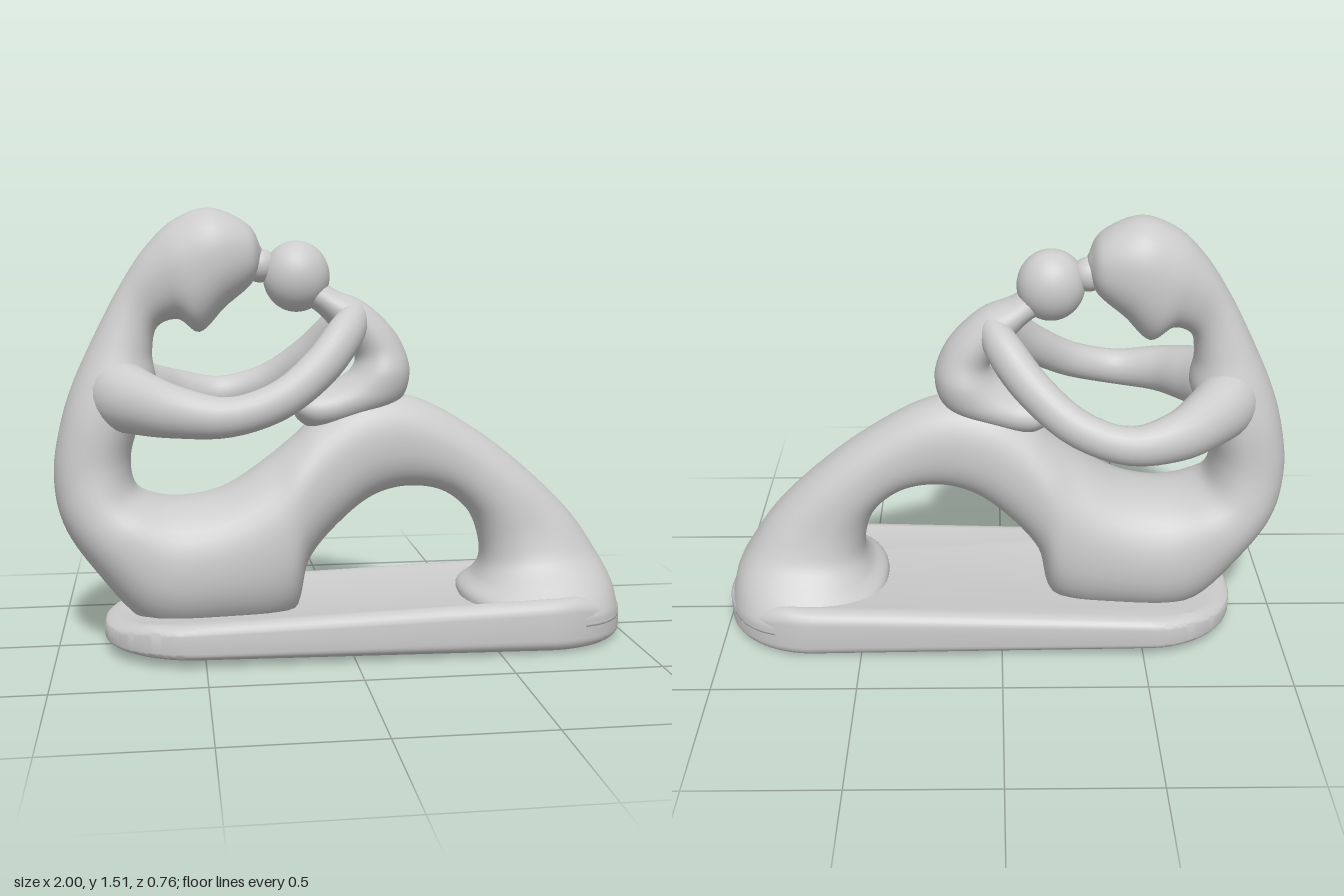
import * as THREE from 'three';
import { toCreasedNormals } from 'three/addons/utils/BufferGeometryUtils.js';

const V = (x, y, z = 0) => new THREE.Vector3(x, y, z);
const material = new THREE.MeshStandardMaterial({ color: 0xcccccc, roughness: 0.7 });

function add(parent, name, geometry) {
  const mesh = new THREE.Mesh(geometry, material);
  mesh.name = name;
  parent.add(mesh);
  return mesh;
}

// Closed skin over sections { c: centre, u: half-axis vector, w: half-width across it }
function loft(sections, sides, power = 1) {
  const pos = [], index = [], n = sections.length;
  const soft = (v) => Math.sign(v) * Math.abs(v) ** power;
  sections.forEach(({ c, u, w }, i) => {
    const d = sections[Math.min(i + 1, n - 1)].c.clone().sub(sections[Math.max(i - 1, 0)].c);
    const v = u.clone().cross(d).normalize().multiplyScalar(w);
    for (let j = 0; j < sides; j++) {
      const t = (j / sides) * Math.PI * 2;
      const p = c.clone().addScaledVector(u, soft(Math.cos(t))).addScaledVector(v, soft(Math.sin(t)));
      pos.push(p.x, p.y, p.z);
    }
  });
  for (let i = 0; i < n - 1; i++) {
    for (let j = 0; j < sides; j++) {
      const a = i * sides + j, b = i * sides + ((j + 1) % sides);
      index.push(a, a + sides, b, b, a + sides, b + sides);
    }
  }
  // end caps
  const first = n * sides, last = first + 1, end = (n - 1) * sides;
  pos.push(...sections[0].c.toArray(), ...sections[n - 1].c.toArray());
  for (let j = 0; j < sides; j++) {
    const k = (j + 1) % sides;
    index.push(first, j, k, last, end + k, end + j);
  }
  const g = new THREE.BufferGeometry();
  g.setAttribute('position', new THREE.Float32BufferAttribute(pos, 3));
  g.setIndex(index);
  g.computeVertexNormals();
  return g;
}

// Body from ribs [backX, backY, frontX, frontY, halfWidth], smoothed by splines
function ribBody(ribs, steps, power) {
  const curve = (f) => new THREE.CatmullRomCurve3(ribs.map(f), false, 'centripetal');
  const back = curve((r) => V(r[0], r[1]));
  const front = curve((r) => V(r[2], r[3]));
  const width = curve((r, i) => V(i, r[4]));
  const sections = [];
  for (let i = 0; i <= steps; i++) {
    const t = i / steps, a = back.getPoint(t), b = front.getPoint(t);
    sections.push({
      c: a.clone().add(b).multiplyScalar(0.5),
      u: a.clone().sub(b).multiplyScalar(0.5),
      w: width.getPoint(t).y,
    });
  }
  return loft(sections, 40, power);
}

// Round limb from points [x, y, z, radius]
function limb(points, side, steps = 56) {
  const path = new THREE.CatmullRomCurve3(points.map((p) => V(p[0], p[1], p[2] * side)));
  const radius = new THREE.CatmullRomCurve3(points.map((p, i) => V(i, p[3])));
  const sections = [];
  for (let i = 0; i <= steps; i++) {
    const t = i / steps, d = path.getTangent(t), r = radius.getPoint(t).y;
    const u = V(0, 1).addScaledVector(d, -d.y).normalize().multiplyScalar(r);
    sections.push({ c: path.getPoint(t), u, w: r * 0.9 });
  }
  return loft(sections, 24);
}

// Long plinth with round ends, thicker toward the feet and sloping off at both tips
function plinth() {
  const b = 0.045, x0 = -0.84 + b, x1 = 1 - b, h = 0.335 - b, r = 0.27;
  const s = new THREE.Shape();
  s.moveTo(x0 + r, -h);
  s.lineTo(x1 - h, -h);
  s.absarc(x1 - h, 0, h, -Math.PI / 2, Math.PI / 2, false);
  s.lineTo(x0 + r, h);
  s.absarc(x0 + r, h - r, r, Math.PI / 2, Math.PI, false);
  s.lineTo(x0, r - h);
  s.absarc(x0 + r, r - h, r, Math.PI, Math.PI * 1.5, false);
  const g = new THREE.ExtrudeGeometry(s, {
    depth: 0.5, bevelThickness: 0.25, bevelSize: b, bevelSegments: 6, curveSegments: 28,
  });
  g.rotateX(-Math.PI / 2);
  const p = g.attributes.position;
  for (let i = 0; i < p.count; i++) {
    const k = (p.getX(i) + 0.84) / 1.84;
    const low = 0.03 * (1 - k);
    const slope = 0.07 * THREE.MathUtils.smoothstep(k, 0.86, 1) + 0.025 * (1 - THREE.MathUtils.smoothstep(k, 0, 0.1));
    const high = 0.135 + 0.06 * k - slope;
    p.setY(i, low + (p.getY(i) + 0.25) * (high - low));
  }
  return toCreasedNormals(g, 0.9);
}

export function createModel() {
  const model = new THREE.Group();
  model.name = 'motherAndChildSculpture';

  add(model, 'base', plinth());

  // Mother: one flowing form from face over back, hips, thighs and knees to the feet
  add(model, 'motherBody', ribBody([
    [-0.285, 1.375, -0.285, 1.335, 0.03],
    [-0.325, 1.45, -0.315, 1.26, 0.105],
    [-0.46, 1.51, -0.41, 1.175, 0.15],
    [-0.58, 1.47, -0.5, 1.09, 0.145],
    [-0.68, 1.375, -0.57, 1.135, 0.118],
    [-0.77, 1.24, -0.64, 1.11, 0.095],
    [-0.86, 1.07, -0.66, 1.02, 0.115],
    [-0.93, 0.92, -0.65, 0.92, 0.15],
    [-0.97, 0.8, -0.7, 0.8, 0.165],
    [-1.0, 0.62, -0.74, 0.66, 0.17],
    [-0.975, 0.45, -0.72, 0.56, 0.195],
    [-0.87, 0.28, -0.65, 0.525, 0.225],
    [-0.68, 0.08, -0.55, 0.52, 0.24],
    [-0.43, 0.06, -0.42, 0.55, 0.24],
    [-0.19, 0.1, -0.28, 0.64, 0.225],
    [-0.13, 0.29, -0.18, 0.72, 0.2],
    [-0.02, 0.42, -0.09, 0.8, 0.17],
    [0.1, 0.51, 0.06, 0.87, 0.15],
    [0.22, 0.54, 0.25, 0.855, 0.13],
    [0.35, 0.52, 0.48, 0.73, 0.125],
    [0.45, 0.44, 0.67, 0.58, 0.135],
    [0.49, 0.34, 0.82, 0.43, 0.15],
    [0.495, 0.26, 0.91, 0.3, 0.185],
    [0.47, 0.205, 0.965, 0.2, 0.26],
    [0.42, 0.16, 0.985, 0.12, 0.315],
    [0.42, 0.1, 0.99, 0.08, 0.32],
  ], 160, 0.9));

  // Child: back, seat and folded legs
  const child = new THREE.Group();
  child.name = 'child';
  model.add(child);
  add(child, 'childBody', ribBody([
    [-0.08, 1.27, -0.17, 1.2, 0.06],
    [-0.03, 1.232, -0.1, 1.16, 0.075],
    [0.06, 1.195, -0.04, 1.1, 0.1],
    [0.14, 1.13, 0.02, 1.04, 0.105],
    [0.2, 1.05, 0.04, 0.99, 0.11],
    [0.23, 0.95, 0.02, 0.95, 0.13],
    [0.2, 0.85, -0.03, 0.92, 0.13],
    [0.06, 0.78, -0.08, 0.9, 0.125],
    [-0.1, 0.75, -0.13, 0.895, 0.12],
    [-0.165, 0.785, -0.172, 0.88, 0.09],
    [-0.18, 0.82, -0.182, 0.85, 0.03],
  ], 70));
  const head = add(child, 'childHead', new THREE.SphereGeometry(1, 36, 24));
  head.scale.set(0.115, 0.122, 0.105);
  head.position.set(-0.165, 1.278, 0);

  // Small bridge where the two faces touch
  const bridge = add(model, 'faceContact', new THREE.SphereGeometry(0.058, 20, 14));
  bridge.position.set(-0.29, 1.315, 0);

  // Arms joined in a ring from the mother's shoulders to the child's
  for (const side of [1, -1]) {
    add(model, side > 0 ? 'leftArm' : 'rightArm', limb([
      [-0.82, 0.9, 0.0, 0.095],
      [-0.765, 0.885, 0.09, 0.118],
      [-0.69, 0.868, 0.18, 0.105],
      [-0.58, 0.85, 0.275, 0.085],
      [-0.42, 0.838, 0.322, 0.066],
      [-0.25, 0.885, 0.288, 0.064],
      [-0.1, 0.99, 0.2, 0.068],
      [-0.01, 1.09, 0.12, 0.068],
      [0.03, 1.135, 0.05, 0.055],
      [0.045, 1.14, 0.01, 0.035],
    ], side));
  }
  return model;
}
